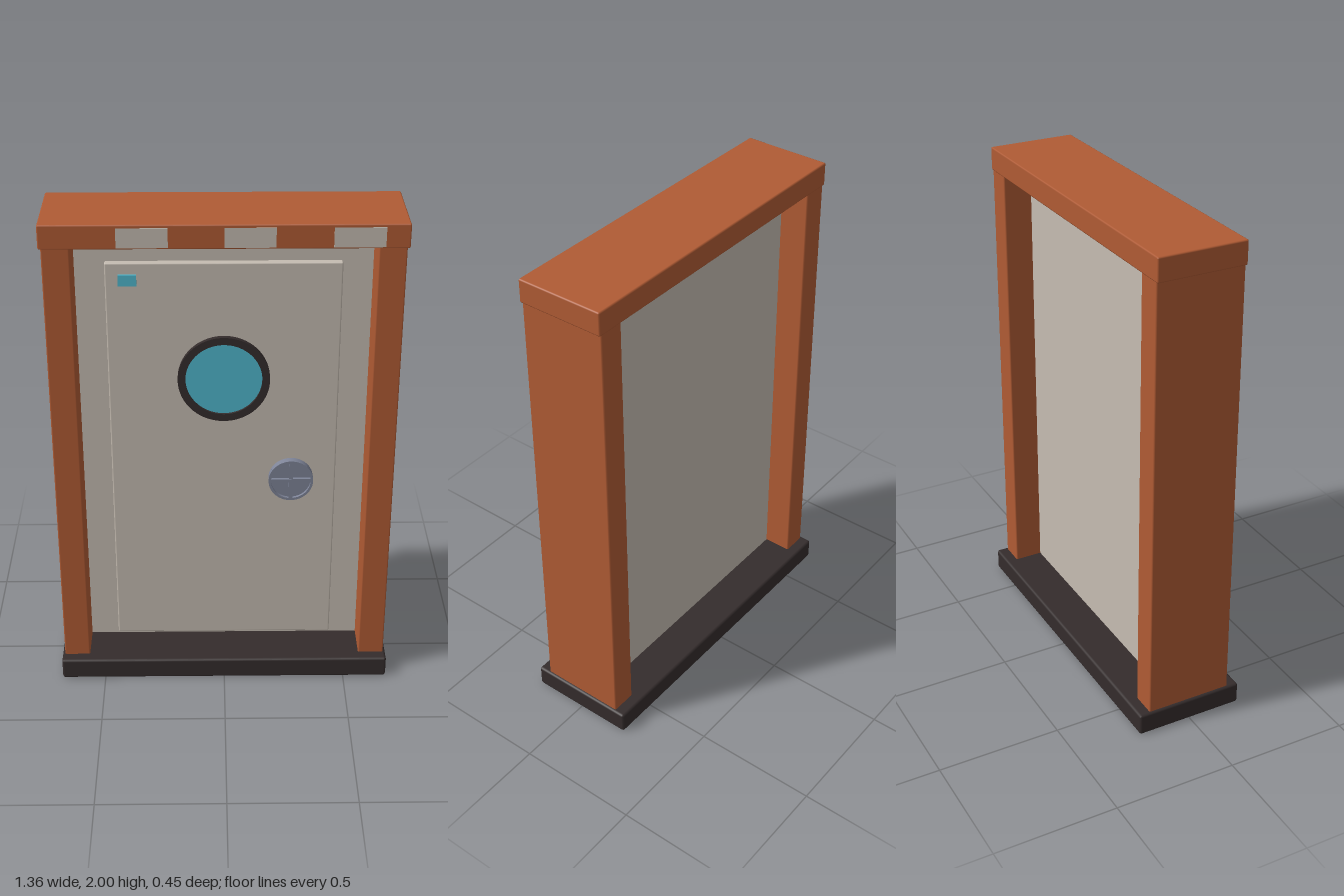
import * as THREE from 'three';
import { RoundedBoxGeometry } from 'three/addons/geometries/RoundedBoxGeometry.js';

const paint = (name, color) => {
  const m = new THREE.MeshStandardMaterial({ color });
  m.name = name;
  return m;
};

export function createModel() {
  const group = new THREE.Group();
  const rust = paint('rust orange', 0xb05b34);
  const beige = paint('warm grey', 0xc5bcb1);
  const dark = paint('charcoal', 0x342c2c);
  const cyan = paint('cyan glass', 0x50b7cd);
  const steel = paint('blue steel', 0x7e8498);

  const add = (name, geometry, material, x = 0, y = 0, z = 0) => {
    const mesh = new THREE.Mesh(geometry, material);
    mesh.name = name;
    mesh.position.set(x, y, z);
    group.add(mesh);
    return mesh;
  };
  // Box given by its limits, with optional softened edges
  const box = (name, mat, [x0, x1], [y0, y1], [z0, z1], bevel = 0) => {
    const size = [x1 - x0, y1 - y0, z1 - z0];
    const geo = bevel ? new RoundedBoxGeometry(...size, 1, bevel) : new THREE.BoxGeometry(...size);
    return add(name, geo, mat, (x0 + x1) / 2, (y0 + y1) / 2, (z0 + z1) / 2);
  };
  // Disc whose flat side faces forward, between two depths
  const disc = (name, mat, r, x, y, z0, z1) =>
    add(name, new THREE.CylinderGeometry(r, r, z1 - z0, 48).rotateX(Math.PI / 2), mat, x, y, (z0 + z1) / 2);

  // Frame
  box('sill', dark, [-0.68, 0.68], [0, 0.09], [-0.225, 0.225], 0.01);
  box('header', rust, [-0.68, 0.68], [1.905, 2], [-0.18, 0.18], 0.006);
  box('leftJamb', rust, [0.565, 0.67], [0.02, 1.93], [-0.178, 0.178], 0.006);
  box('rightJamb', rust, [-0.67, -0.565], [0.02, 1.93], [-0.178, 0.178], 0.006);

  // Pale bands on the header
  [-0.3, 0.095, 0.495].forEach((x) =>
    box('headerBand', beige, [x - 0.095, x + 0.095], [1.912, 1.988], [0.176, 0.183]));

  // Door slab and raised panel
  box('door', beige, [-0.6, 0.6], [0.02, 1.93], [-0.06, 0.025]);
  box('doorPanel', beige, [-0.45, 0.45], [0.11, 1.8], [0, 0.05], 0.006);
  box('indicator', cyan, [-0.4, -0.33], [1.71, 1.755], [0.05, 0.058]);

  // Round window
  const ring = new THREE.Shape().absarc(0, 0, 0.18, 0, Math.PI * 2);
  ring.holes.push(new THREE.Path().absarc(0, 0, 0.15, 0, Math.PI * 2, true));
  add('windowRing', new THREE.ExtrudeGeometry(ring, { depth: 0.024, bevelEnabled: false, curveSegments: 48 }),
    dark, 0, 1.32, 0.046);
  disc('windowGlass', cyan, 0.152, 0, 1.32, 0.046, 0.06);

  // Hand wheel: backing disc, rim and crossed spokes
  const [hx, hy] = [0.27, 0.87];
  disc('wheelDisc', steel, 0.09, hx, hy, 0.046, 0.068);
  const rim = new THREE.Shape().absarc(0, 0, 0.09, 0, Math.PI * 2);
  rim.holes.push(new THREE.Path().absarc(0, 0, 0.08, 0, Math.PI * 2, true));
  add('wheelRim', new THREE.ExtrudeGeometry(rim, { depth: 0.012, bevelEnabled: false, curveSegments: 32 }),
    steel, hx, hy, 0.068);
  box('wheelSpoke', steel, [hx - 0.082, hx + 0.082], [hy - 0.008, hy + 0.008], [0.066, 0.08]);
  box('wheelSpoke', steel, [hx - 0.008, hx + 0.008], [hy - 0.082, hy + 0.082], [0.066, 0.0799]);

  return group;
}
